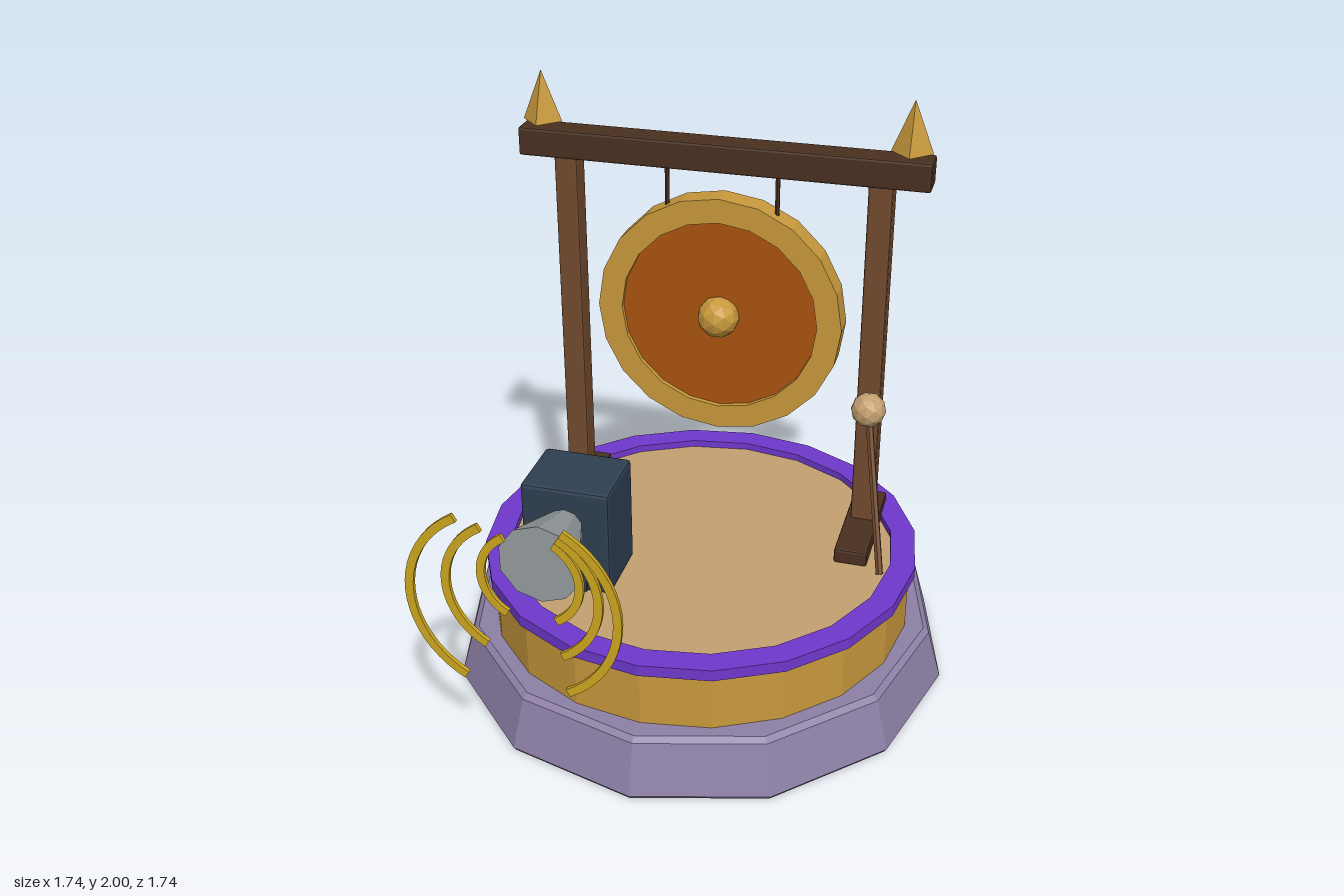
import * as THREE from 'three';
import { RoundedBoxGeometry } from 'three/addons/geometries/RoundedBoxGeometry.js';

const material = (name, color) => {
  const m = new THREE.MeshStandardMaterial({ color });
  m.name = name;
  return m;
};

// Faceted normals for the low-poly look
const flat = (geometry) => {
  const g = geometry.index ? geometry.toNonIndexed() : geometry;
  g.computeVertexNormals();
  return g;
};

const lathe = (profile, sides) =>
  new THREE.LatheGeometry(profile.map(([r, y]) => new THREE.Vector2(r, y)), sides);

// Rectangular-section ring around the y axis
const ring = (inner, outer, y0, y1, sides) =>
  lathe([[outer, y0], [outer, y1], [inner, y1], [inner, y0], [outer, y0]], sides);

export function createModel() {
  const model = new THREE.Group();
  model.name = 'gongStand';

  const stone = material('lavender stone', 0x8d80a6);
  const gold = material('gold', 0xc8993c);
  const purple = material('purple', 0x6f38cc);
  const tan = material('tan', 0xc4a070);
  const wood = material('wood', 0x724a2e);
  const darkWood = material('dark wood', 0x4a3020);
  const bronze = material('bronze orange', 0xa8530f);
  const navy = material('navy', 0x2f3f52);
  const grey = material('grey metal', 0x959c9f);
  const yellow = material('wave yellow', 0xcca61f);

  const add = (name, geometry, mat, x = 0, y = 0, z = 0) => {
    const mesh = new THREE.Mesh(flat(geometry), mat);
    mesh.name = name;
    mesh.position.set(x, y, z);
    model.add(mesh);
    return mesh;
  };
  const box = (name, w, h, d, mat, x, y, z, bevel = 0.008) =>
    add(name, new RoundedBoxGeometry(w, h, d, 1, bevel), mat, x, y, z);

  // Round plinth, drum and floor
  add('plinth', lathe([[0, 0], [0.86, 0], [0.87, 0.015], [0.82, 0.19], [0.8, 0.205], [0, 0.205]], 12), stone);
  add('drum', new THREE.CylinderGeometry(0.735, 0.735, 0.21, 20), gold, 0, 0.305, 0);
  add('rimBand', ring(0.67, 0.755, 0.408, 0.448, 20), purple);
  add('floor', new THREE.CylinderGeometry(0.68, 0.68, 0.02, 20), tan, 0, 0.412, 0);

  // Gong frame
  const gongZ = -0.255;
  for (const s of [-1, 1]) {
    box('foot', 0.115, 0.055, 0.42, darkWood, s * 0.53, 0.4475, -0.21);
    box('post', 0.08, 1.27, 0.08, wood, s * 0.53, 1.095, gongZ);
    add('finial', new THREE.ConeGeometry(0.068, 0.17, 4), gold, s * 0.617, 1.915, gongZ);
    add('rope', new THREE.CylinderGeometry(0.008, 0.008, 0.2, 6), darkWood, s * 0.188, 1.64, gongZ);
  }
  box('crossbeam', 1.38, 0.097, 0.1, darkWood, 0, 1.765, gongZ);

  // Gong
  add('gongRim', ring(0.343, 0.427, -0.043, 0.043, 20), gold, 0, 1.2, gongZ).rotation.x = Math.PI / 2;
  add('gongFace', new THREE.CylinderGeometry(0.35, 0.35, 0.05, 20), bronze, 0, 1.2, gongZ).rotation.x = Math.PI / 2;
  add('gongBoss', new THREE.IcosahedronGeometry(0.073, 1), gold, 0, 1.2, -0.218);

  // Mallet leaning on the right-hand post
  const head = new THREE.Vector3(0.54, 0.945, -0.165);
  const tip = new THREE.Vector3(0.64, 0.43, 0.04);
  const handle = add('malletHandle', new THREE.CylinderGeometry(0.013, 0.013, head.distanceTo(tip), 6), wood);
  handle.position.copy(head).add(tip).multiplyScalar(0.5);
  handle.quaternion.setFromUnitVectors(new THREE.Vector3(0, 1, 0), head.clone().sub(tip).normalize());
  add('malletHead', new THREE.IcosahedronGeometry(0.06, 1), tan, head.x, head.y, head.z);

  // Horn speaker
  const hornX = -0.36, hornY = 0.67;
  box('speakerBox', 0.305, 0.385, 0.252, navy, hornX, 0.6125, 0.26, 0.012);
  box('speakerPanel', 0.14, 0.13, 0.012, navy, hornX, 0.485, 0.387, 0.003);
  add('horn', new THREE.CylinderGeometry(0.143, 0.06, 0.24, 10), grey, hornX, hornY, 0.5).rotation.x = Math.PI / 2;

  // Sound waves: mirrored pairs of flat arcs growing away from the horn
  const span = Math.PI / 3;
  [[0.15, 0.178, 0.704], [0.237, 0.265, 0.776], [0.323, 0.351, 0.85]].forEach(([inner, outer, z]) => {
    for (const middle of [0, Math.PI]) {
      const arc = new THREE.Shape();
      arc.absarc(0, 0, outer, middle - span, middle + span, false);
      arc.absarc(0, 0, inner, middle + span, middle - span, true);
      arc.closePath();
      const geometry = new THREE.ExtrudeGeometry(arc, { depth: 0.014, bevelEnabled: false, curveSegments: 10 });
      add('soundWave', geometry, yellow, hornX, hornY, z - 0.007);
    }
  });

  return model;
}
